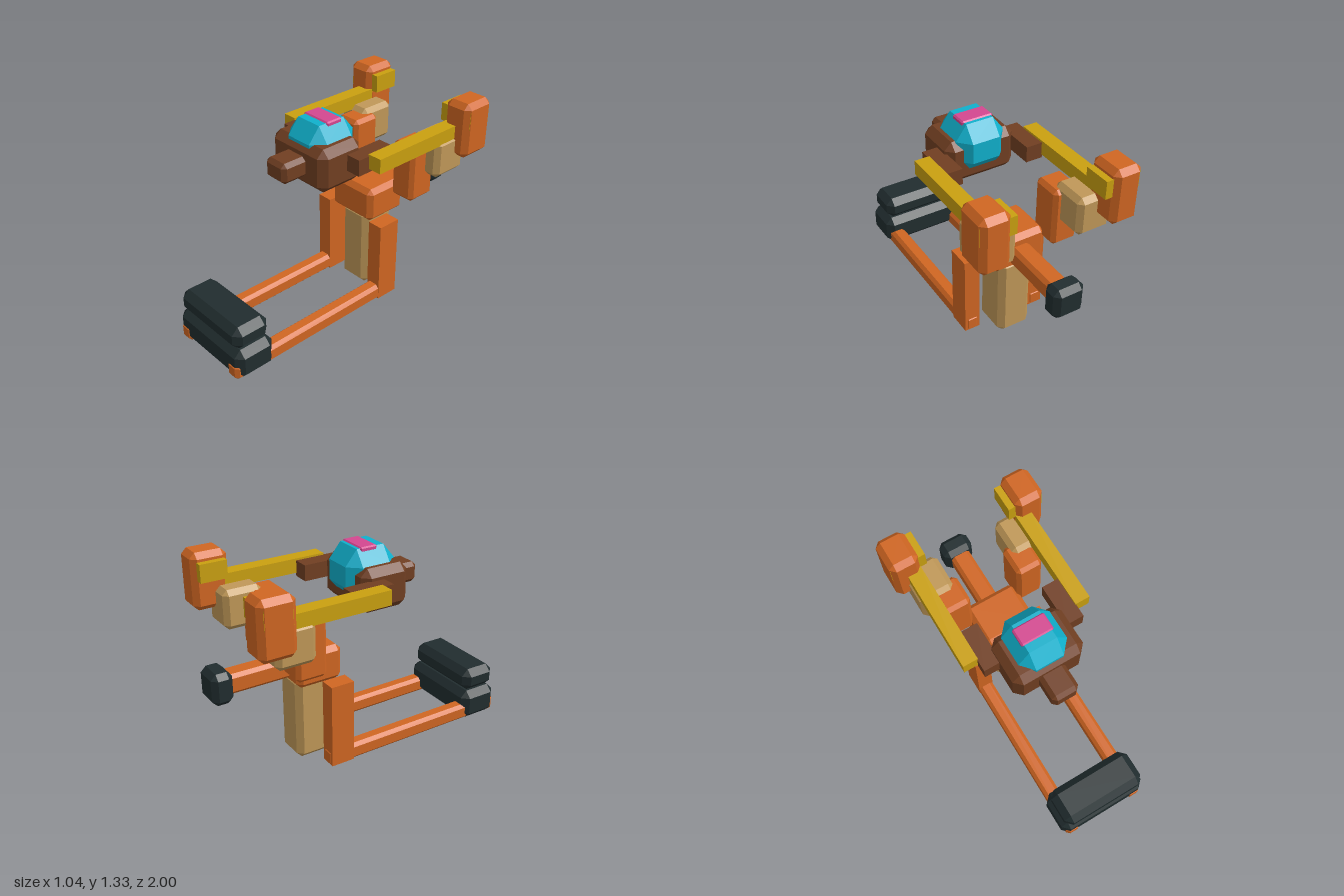
import * as THREE from 'three';
import { ConvexGeometry } from 'three/addons/geometries/ConvexGeometry.js';

const flat = (name, color) => {
  const m = new THREE.MeshStandardMaterial({ color });
  m.name = name;
  return m;
};

// Box with cut edges and corners, given by its extents on each axis.
function chamferBox(x, y, z, bevel) {
  const [bx, by, bz] = Array.isArray(bevel) ? bevel : [bevel, bevel, bevel];
  const points = [];
  for (const i of [0, 1]) for (const j of [0, 1]) for (const k of [0, 1]) {
    const X = x[i], Y = y[j], Z = z[k];
    const dx = i ? -bx : bx, dy = j ? -by : by, dz = k ? -bz : bz;
    points.push(
      new THREE.Vector3(X, Y + dy, Z + dz),
      new THREE.Vector3(X + dx, Y, Z + dz),
      new THREE.Vector3(X + dx, Y + dy, Z),
    );
  }
  return new ConvexGeometry(points);
}

function plainBox(x, y, z) {
  return new THREE.BoxGeometry(x[1] - x[0], y[1] - y[0], z[1] - z[0])
    .translate((x[0] + x[1]) / 2, (y[0] + y[1]) / 2, (z[0] + z[1]) / 2);
}

export function createModel() {
  const orange = flat('orange', 0xd06622);
  const tan = flat('tan', 0xc09858);
  const charcoal = flat('charcoal', 0x212d2f);
  const brown = flat('brown', 0x713f22);
  const yellow = flat('yellow', 0xcaa010);
  const cyan = flat('cyan', 0x10b0cc);
  const pink = flat('pink', 0xd34790);

  const model = new THREE.Group();
  model.name = 'figure';

  const part = (name, material, x, y, z, bevel = 0) => {
    const geometry = bevel ? chamferBox(x, y, z, bevel) : plainBox(x, y, z);
    const mesh = new THREE.Mesh(geometry, material);
    mesh.name = name;
    model.add(mesh);
  };

  // Same part on both sides; x runs from the inner to the outer edge.
  const pair = (name, material, x, ...rest) => {
    part('left' + name, material, x, ...rest);
    part('right' + name, material, [-x[1], -x[0]], ...rest);
  };

  // Torso and spine
  part('torso', orange, [-0.18, 0.18], [0.55, 0.78], [-0.49, -0.18], 0.032);
  part('spine', tan, [-0.115, 0.115], [0.01, 0.58], [-0.465, -0.21], 0.037);

  // Tail with a dark tip
  part('tail', orange, [-0.065, 0.065], [0.583, 0.713], [-0.995, -0.42], 0.022);
  part('tailTip', charcoal, [-0.102, 0.102], [0.545, 0.75], [-1, -0.865], 0.034);

  // Legs: uprights, long rails and the two stacked front blocks
  pair('Upright', orange, [0.185, 0.29], [0.015, 0.573], [-0.328, -0.17]);
  pair('Rail', orange, [0.187, 0.288], [0.008, 0.118], [-0.333, 1], 0.022);
  part('lowerFrontBlock', charcoal, [-0.31, 0.31], [0.005, 0.212], [0.72, 0.995], 0.045);
  part('upperFrontBlock', charcoal, [-0.29, 0.29], [0.21, 0.364], [0.737, 0.987], 0.045);

  // Arms
  pair('UpperArm', orange, [0.163, 0.342], [0.693, 1.083], [-0.585, -0.38], 0.025);
  pair('Forearm', tan, [0.205, 0.437], [0.855, 1.112], [-0.76, -0.5], 0.032);
  pair('Hand', orange, [0.328, 0.518], [0.967, 1.333], [-0.895, -0.66], 0.035);
  pair('HandGrip', yellow, [0.285, 0.515], [1.165, 1.282], [-0.865, -0.69]);
  pair('ArmBar', yellow, [0.33, 0.427], [1.083, 1.178], [-0.7, 0]);

  // Head
  part('head', brown, [-0.236, 0.236], [0.95, 1.232], [-0.058, 0.275], 0.048);
  part('snout', brown, [-0.088, 0.088], [1.025, 1.158], [0.2, 0.44], 0.026);
  pair('Ear', brown, [0.222, 0.335], [1.06, 1.165], [-0.2, 0.08]);
  part('dome', cyan, [-0.163, 0.163], [1, 1.328], [-0.102, 0.25], [0.072, 0.098, 0.08]);
  part('domePatch', pink, [-0.105, 0.105], [1.303, 1.336], [0, 0.117], [0.01, 0.008, 0.008]);

  return model;
}
